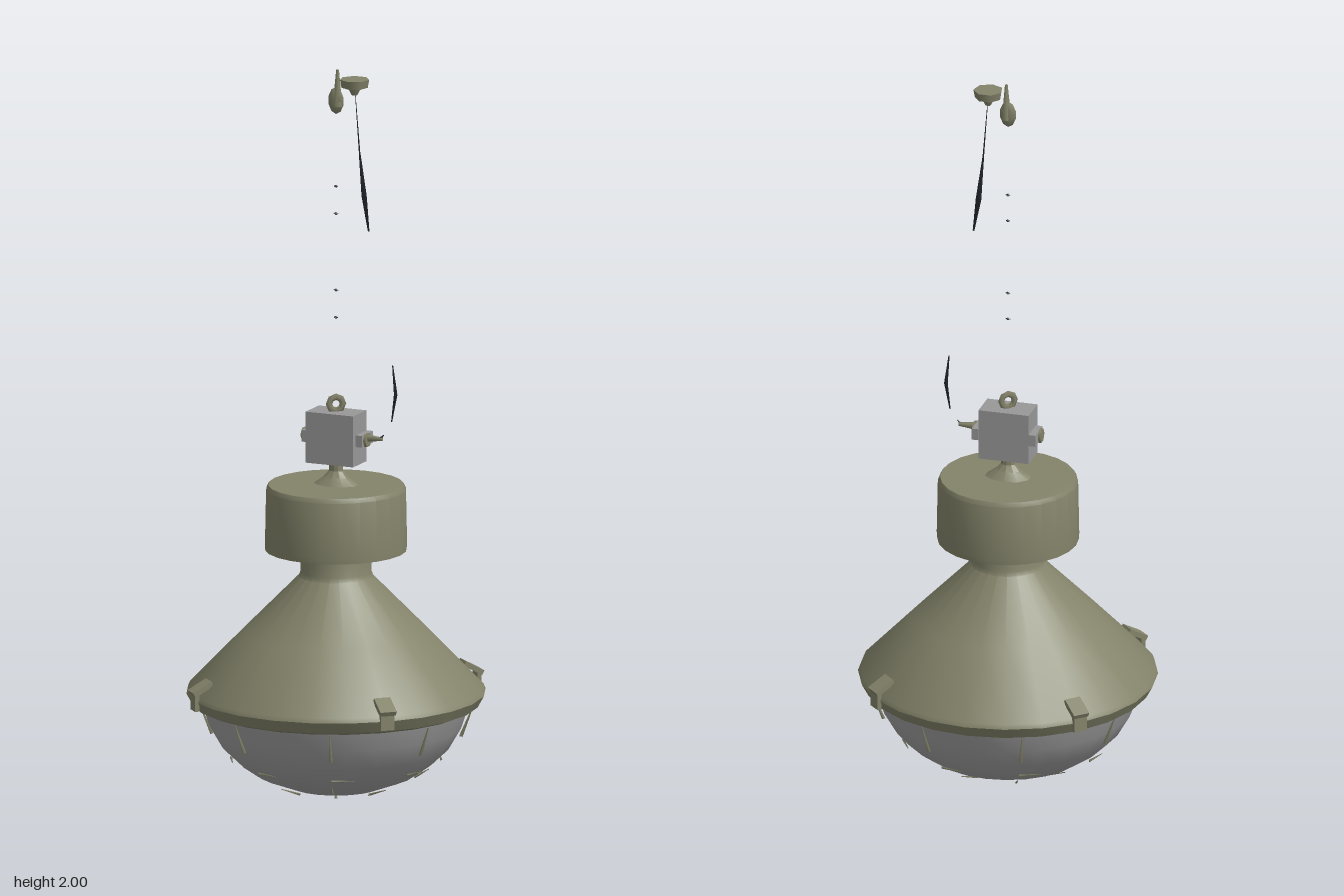
import * as THREE from 'three';
import { toCreasedNormals } from 'three/addons/utils/BufferGeometryUtils.js';

const mat = (name, color, opts = {}) => {
  const m = new THREE.MeshStandardMaterial({ color, ...opts });
  m.name = name;
  return m;
};

export function createModel() {
  const olive = mat('olive enamel', 0x84846b);
  const grey = mat('grey metal', 0x989898);
  const glass = mat('frosted glass', 0xa0a0a0, { side: THREE.DoubleSide });
  const black = mat('black cord', 0x20242a);

  const root = new THREE.Group();
  root.name = 'pendantLamp';

  const add = (name, geo, material, x = 0, y = 0, z = 0, parent = root) => {
    const mesh = new THREE.Mesh(geo, material);
    mesh.name = name;
    mesh.position.set(x, y, z);
    parent.add(mesh);
    return mesh;
  };
  const lathe = (pts, sides) => toCreasedNormals(
    new THREE.LatheGeometry(pts.map(p => new THREE.Vector2(...p)), sides), 0.45);
  // Thin three-sided sliver that tapers from a to b
  const sliver = (name, a, b, r, material) => {
    const d = b.clone().sub(a);
    const mesh = add(name, new THREE.CylinderGeometry(r * 0.3, r, d.length(), 3), material);
    mesh.position.copy(a).addScaledVector(d, 0.5);
    mesh.quaternion.setFromUnitVectors(new THREE.Vector3(0, 1, 0), d.normalize());
    return mesh;
  };

  // Conical shade with its rim and neck
  add('shade', lathe([
    [0.35, 0.268], [0.365, 0.256], [0.385, 0.264], [0.402, 0.295], [0.397, 0.307],
    [0.25, 0.46], [0.1, 0.612], [0.095, 0.625], [0.095, 0.69],
  ], 24), olive);

  // Ballast housing and the stem on top of it
  add('housing', lathe([
    [0.09, 0.684], [0.19, 0.684], [0.191, 0.7], [0.188, 0.85], [0.182, 0.862], [0, 0.864],
  ], 24), olive);
  const stem = add('stem', lathe([[0.065, 0.862], [0.035, 0.883], [0.02, 0.9], [0.018, 0.93]], 10), olive);
  stem.scale.z = 0.7;

  // Glass bowl
  const bowlPts = [[0, 0.018], [0.05, 0.021], [0.12, 0.034], [0.21, 0.068],
    [0.26, 0.102], [0.305, 0.145], [0.34, 0.205], [0.362, 0.27]];
  add('bowl', lathe(bowlPts, 24), glass);

  // Broken wire guard around the bowl
  const guard = new THREE.SplineCurve(bowlPts.map(([r, y]) => new THREE.Vector2(r * 1.02, y - 0.006)));
  const onGuard = (t, a) => {
    const p = guard.getPoint(t);
    return new THREE.Vector3(p.x * Math.sin(a), p.y, p.x * Math.cos(a));
  };
  for (let i = 0; i < 8; i++) {
    const a = (i + 0.5) * Math.PI / 4;
    const t = i % 2 ? 0.3 : 0.42;
    sliver('guardRib', onGuard(t, a), onGuard(t + 0.1, a), 0.004, olive);
    sliver('guardRibEnd', onGuard(0.8, a), onGuard(0.97, a), 0.006, olive);
    sliver('guardRing', onGuard(0.62, a), onGuard(0.62, a + 0.22), 0.004, olive);
  }
  add('guardTip', new THREE.ConeGeometry(0.005, 0.016, 4), olive, 0, 0.008, 0);

  // Four rim clips on the diagonals
  for (let i = 0; i < 4; i++) {
    const clip = new THREE.Group();
    clip.name = 'rimClip';
    clip.rotation.y = Math.PI / 4 + i * Math.PI / 2;
    root.add(clip);
    const plate = add('clipPlate', new THREE.BoxGeometry(0.046, 0.014, 0.06), olive, 0, 0.332, 0.385, clip);
    plate.rotation.x = 0.5;
    add('clipLip', new THREE.BoxGeometry(0.038, 0.05, 0.012), olive, 0, 0.297, 0.402, clip);
  }

  // Junction box with side flanges, knobs, cable gland and hanging eye
  add('junctionBox', new THREE.BoxGeometry(0.14, 0.14, 0.084), grey, 0, 0.993, 0);
  for (const s of [-1, 1]) {
    add('sideFlange', new THREE.BoxGeometry(0.02, 0.032, 0.07), grey, s * 0.079, 0.992, -0.008);
    const knob = add('sideKnob', new THREE.CylinderGeometry(0.02, 0.02, 0.008, 6), olive, s * 0.092, 0.992, 0);
    knob.rotation.z = Math.PI / 2;
  }
  const gland = add('cableGland', new THREE.CylinderGeometry(0.005, 0.01, 0.045, 6), olive, 0.115, 0.998, 0);
  gland.rotation.z = -Math.PI / 2;
  const eye = add('hangingEye', new THREE.TorusGeometry(0.019, 0.009, 4, 8), olive, 0, 1.083, 0);
  eye.rotation.y = Math.PI / 5;

  // Supply cord, in separate visible lengths
  const v = (x, y, z = 0) => new THREE.Vector3(x, y, z);
  sliver('lowerCordBottom', v(0.168, 1.12, -0.015), v(0.157, 1.045, -0.015), 0.006, black);
  sliver('lowerCordTop', v(0.168, 1.12, -0.015), v(0.16, 1.2, -0.015), 0.006, black);
  sliver('lowerCordEnd', v(0.13, 1.0), v(0.142, 1.01), 0.004, black);
  sliver('upperCord', v(0.081, 1.66), v(0.096, 1.565), 0.009, black);
  sliver('upperCordMiddle', v(0.081, 1.66), v(0.069, 1.78), 0.009, black);
  sliver('upperCordTop', v(0.069, 1.78), v(0.056, 1.95), 0.0025, black);

  // Remaining slivers of the suspension chain
  for (const y of [1.32, 1.395, 1.605, 1.68]) {
    add('chainLink', new THREE.OctahedronGeometry(0.007), black, 0, y, 0).scale.y = 0.6;
  }

  // Ceiling rose and hook
  add('ceilingRose', new THREE.CylinderGeometry(0.04, 0.036, 0.022, 7), olive, 0.055, 1.968, 0);
  add('roseStem', new THREE.CylinderGeometry(0.02, 0.008, 0.025, 6), olive, 0.055, 1.948, 0);
  add('hookShank', new THREE.CylinderGeometry(0.004, 0.014, 0.1, 5), olive, 0.005, 1.95, 0);
  const hook = add('hook', new THREE.SphereGeometry(0.023, 6, 5), olive, 0, 1.915, 0);
  hook.scale.set(1, 1.6, 0.45);

  return root;
}
